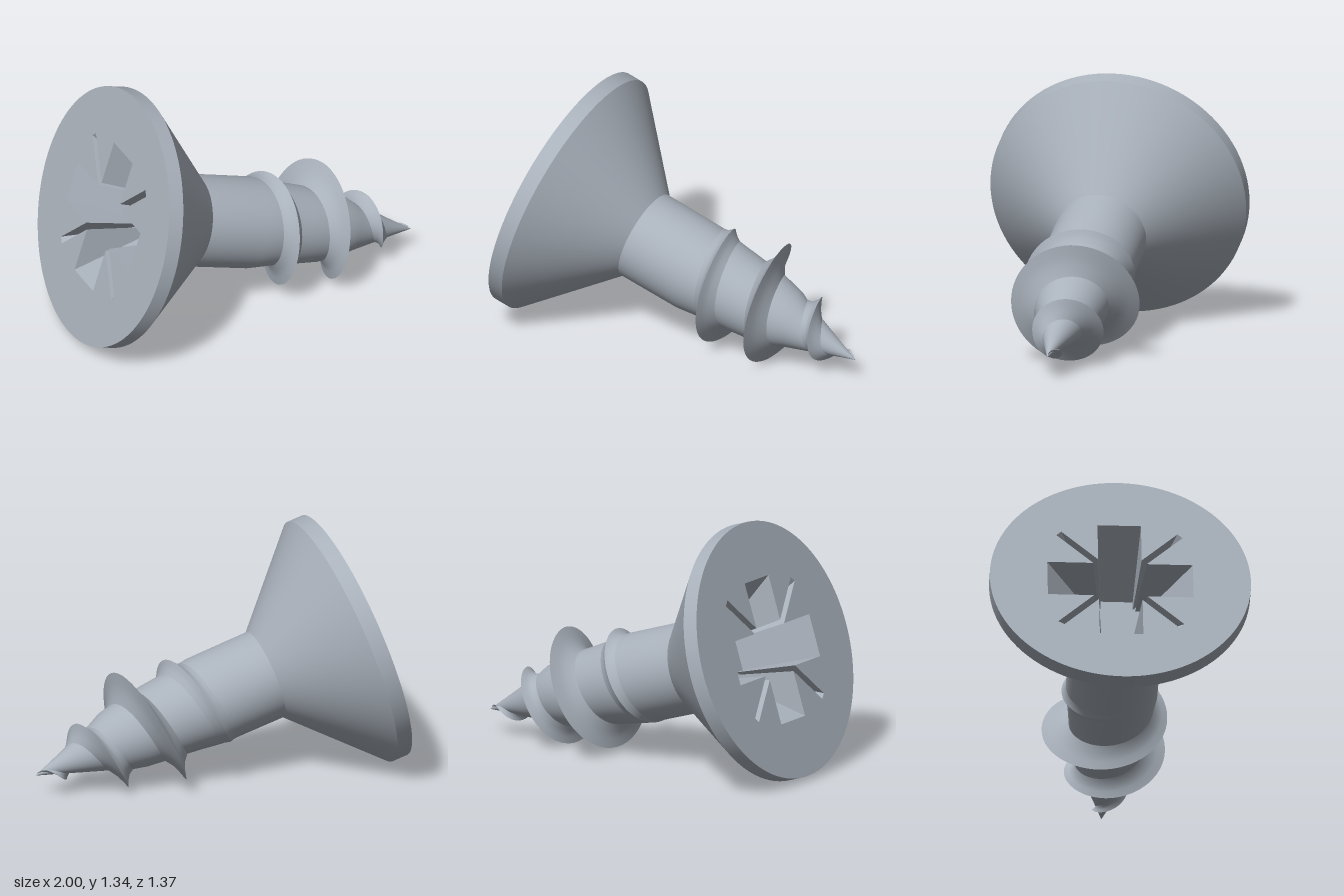
import * as THREE from 'three';

// Distances run along the screw axis from the head face (0) to the tip.
const SHAFT = [[0.525, 0.245], [0.88, 0.243], [1.02, 0.224], [1.15, 0.211], [1.3, 0.195], [1.43, 0.165],
  [1.5, 0.132], [1.64, 0.083], [1.76, 0.04], [1.872, 0.002]];
const CREST = [[0.8, 0.243], [0.89, 0.262], [0.97, 0.278], [1.036, 0.3], [1.13, 0.335], [1.18, 0.352],
  [1.23, 0.353], [1.268, 0.345], [1.347, 0.306], [1.415, 0.27], [1.465, 0.234], [1.57, 0.178],
  [1.64, 0.13], [1.72, 0.092], [1.8, 0.045], [1.86, 0.012]];
const PITCH = 0.3;

// Linear lookup in a list of [distance, radius]
function radiusAt(table, t) {
  if (t <= table[0][0]) return table[0][1];
  for (let i = 1; i < table.length; i++) {
    const [t0, r0] = table[i - 1], [t1, r1] = table[i];
    if (t <= t1) return r0 + (r1 - r0) * (t - t0) / (t1 - t0);
  }
  return table[table.length - 1][1];
}

function lathe(points) {
  return new THREE.LatheGeometry(points.map(([t, r]) => new THREE.Vector2(r, t)), 96);
}

// One smooth flank of the helical thread; side -1 faces the head, +1 the tip
function flankGeometry(side) {
  const t0 = 0.8, t1 = 1.86, steps = 220;
  const profile = [[1, 0], [0.5, 0.32], [0.22, 0.65], [0, 1]]; // [width, height] from root to crest
  if (side > 0) profile.reverse();
  const n = profile.length, pos = [], index = [];
  for (let i = 0; i <= steps; i++) {
    const t = t0 + (t1 - t0) * i / steps;
    const angle = 2 * Math.PI * (t - 0.97) / PITCH;
    const half = 0.065 * Math.min(1, (1.9 - t) / 0.3);
    const crest = radiusAt(CREST, t);
    for (const [w, h] of profile) {
      const y = Math.min(t + side * w * half, 1.87);
      const root = Math.max(0.001, radiusAt(SHAFT, y) - 0.004);
      const r = root + (crest - root) * h;
      pos.push(r * Math.sin(angle), y, r * Math.cos(angle));
    }
  }
  for (let i = 0; i < steps; i++) {
    for (let j = 0; j < n - 1; j++) {
      const a = i * n + j, b = a + n;
      index.push(a, b, a + 1, b, b + 1, a + 1);
    }
  }
  const g = new THREE.BufferGeometry();
  g.setAttribute('position', new THREE.Float32BufferAttribute(pos, 3));
  g.setIndex(index);
  g.computeVertexNormals();
  return g;
}

// Cross outline with a thin diagonal slot in every corner
function recessOutline(end, half, slot, k) {
  const quarter = [[end, half], [half + k, half], [slot + k / 2, slot - k / 2],
    [slot - k / 2, slot + k / 2], [half, half + k], [half, end]];
  const out = [];
  for (let q = 0; q < 4; q++) {
    for (const [x, y] of quarter) {
      out.push(new THREE.Vector2([x, -y, -x, y][q], [y, x, -y, -x][q]));
    }
  }
  return out;
}

// Flat walls joining two outlines, facing into the recess
function recessWalls(top, bottom, depth) {
  const pos = [];
  top.forEach((a, i) => {
    const j = (i + 1) % top.length, b = top[j], c = bottom[j], d = bottom[i];
    pos.push(a.x, 0, a.y, b.x, 0, b.y, c.x, depth, c.y);
    pos.push(a.x, 0, a.y, c.x, depth, c.y, d.x, depth, d.y);
  });
  const g = new THREE.BufferGeometry();
  g.setAttribute('position', new THREE.Float32BufferAttribute(pos, 3));
  g.computeVertexNormals();
  return g;
}

export function createModel() {
  const model = new THREE.Group();
  model.name = 'screw';
  const steel = new THREE.MeshStandardMaterial({ color: 0xa9b1bb });
  steel.name = 'steel';

  // Tilted frame: local y follows the axis towards the tip
  const axis = new THREE.Vector3(0.933, -0.299, 0.199).normalize();
  const up = new THREE.Vector3(0, 1, 0).addScaledVector(axis, -axis.y).normalize();
  const sideways = new THREE.Vector3().crossVectors(axis, up);
  const screw = new THREE.Group();
  screw.name = 'tiltedScrew';
  screw.quaternion.setFromRotationMatrix(new THREE.Matrix4().makeBasis(sideways, axis, up));
  screw.position.set(-0.752, 0.686, -0.006);
  model.add(screw);

  const add = (name, geometry) => {
    const mesh = new THREE.Mesh(geometry, steel);
    mesh.name = name;
    screw.add(mesh);
  };

  // Countersunk head
  add('headRim', lathe([[0, 0.69], [0.085, 0.69]]));
  add('headCone', lathe([[0.085, 0.69], [0.525, 0.245]]));

  // Head face with the driver recess
  const depth = 0.34;
  const top = recessOutline(0.385, 0.115, 0.32, 0.026);
  const bottom = recessOutline(0.15, 0.085, 0.115, 0.012);
  const face = new THREE.Shape().absarc(0, 0, 0.69, 0, Math.PI * 2);
  face.holes.push(new THREE.Path(top));
  add('headFace', new THREE.ShapeGeometry(face, 96).rotateX(Math.PI / 2));
  add('recessWalls', recessWalls(top, bottom, depth));
  add('recessFloor', new THREE.ShapeGeometry(new THREE.Shape(bottom)).rotateX(Math.PI / 2).translate(0, depth, 0));

  // Shaft and its helical thread
  add('shaft', lathe(SHAFT));
  add('threadUpperFlank', flankGeometry(-1));
  add('threadLowerFlank', flankGeometry(1));

  return model;
}
